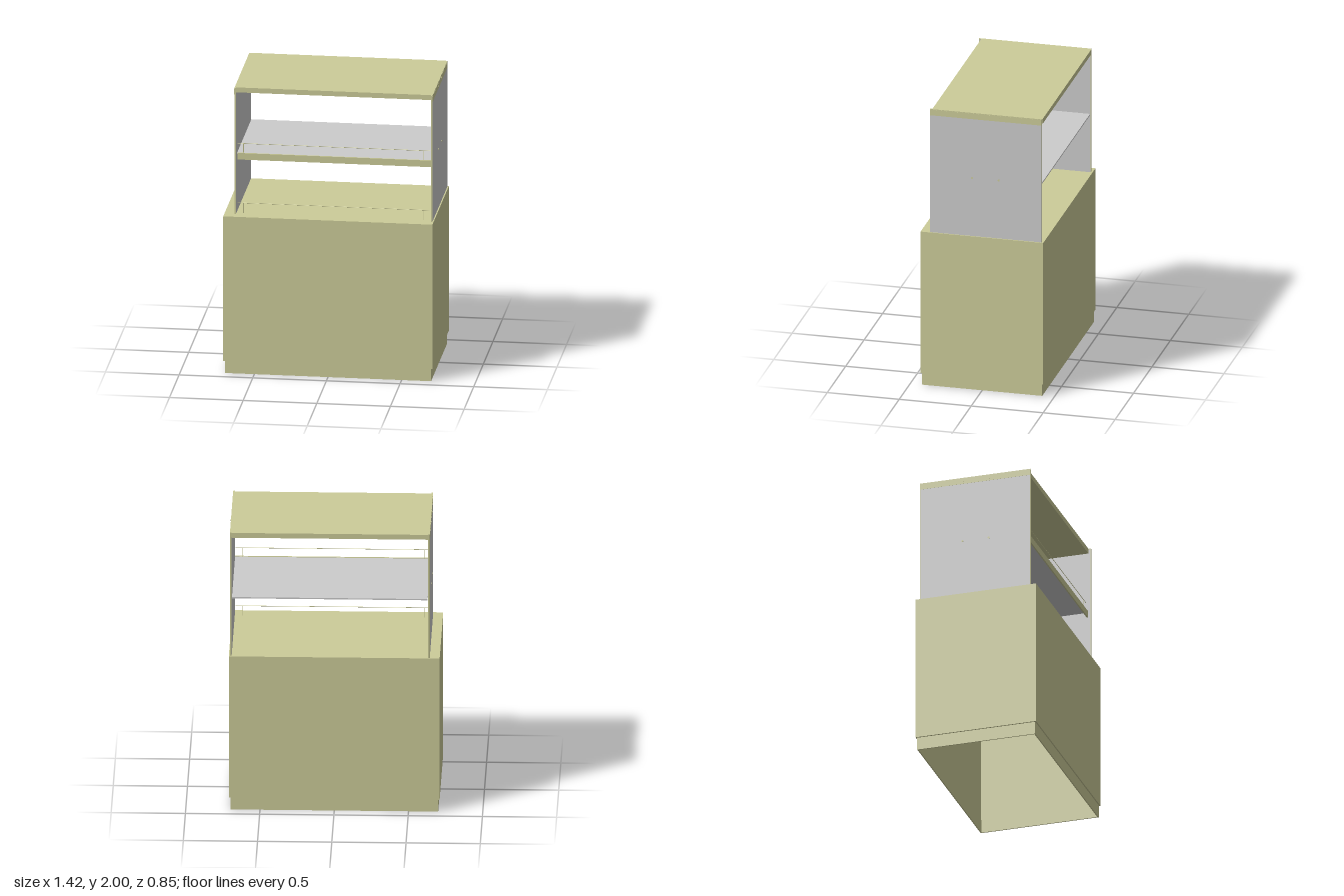
import * as THREE from 'three';

export function createModel() {
  const root = new THREE.Group();
  const beige = new THREE.MeshStandardMaterial({ color: 0xcccc99, side: THREE.DoubleSide });
  beige.name = 'beigeLaminate';
  const grey = new THREE.MeshStandardMaterial({ color: 0xcccccc });
  grey.name = 'greyGlass';

  // Box given by its minimum and maximum corners
  function box(name, mat, [x0, y0, z0], [x1, y1, z1]) {
    const m = new THREE.Mesh(new THREE.BoxGeometry(x1 - x0, y1 - y0, z1 - z0), mat);
    m.position.set((x0 + x1) / 2, (y0 + y1) / 2, (z0 + z1) / 2);
    m.name = name;
    root.add(m);
    return m;
  }

  // Hollow rectangular wall, open above and below
  function shell(name, hx, hz, wall, y0, y1) {
    const rect = (p, a, b) => {
      p.moveTo(-a, -b); p.lineTo(a, -b); p.lineTo(a, b); p.lineTo(-a, b); p.closePath();
      return p;
    };
    const shape = rect(new THREE.Shape(), hx, hz);
    shape.holes.push(rect(new THREE.Path(), hx - wall, hz - wall));
    const g = new THREE.ExtrudeGeometry(shape, { depth: y1 - y0, bevelEnabled: false });
    g.rotateX(-Math.PI / 2);
    const m = new THREE.Mesh(g, beige);
    m.position.y = y0;
    m.name = name;
    root.add(m);
  }

  // Thin round rod along x, y or z
  function rod(name, r, length, axis, x, y, z, sides = 8) {
    const m = new THREE.Mesh(new THREE.CylinderGeometry(r, r, length, sides), beige);
    if (axis === 'x') m.rotation.z = Math.PI / 2;
    m.position.set(x, y, z);
    m.name = name;
    root.add(m);
  }

  // Cabinet, hollow and open below
  shell('plinth', 0.7, 0.417, 0.008, 0, 0.09);
  shell('cabinetWalls', 0.71, 0.426, 0.012, 0.088, 1.085);
  box('counterTop', beige, [-0.71, 1.085, -0.426], [0.71, 1.11, 0.426]);

  // Side panels: grey faces with beige edging and fixings
  for (const [side, x0, x1, out] of [['right', -0.643, -0.632, -1], ['left', 0.691, 0.702, 1]]) {
    const outer = out < 0 ? x0 : x1;
    box(side + 'Panel', grey, [x0, 1.11, -0.411], [x1, 1.995, 0.361]);
    box(side + 'FrontEdge', beige, [x0, 1.11, 0.361], [x1, 2, 0.364]);
    box(side + 'BackEdge', beige, [x0, 1.11, -0.414], [x1, 2, -0.411]);
    box(side + 'TopEdge', beige, [x0, 1.995, -0.411], [x1, 2, 0.361]);
    box(side + 'TopBand', beige, [outer - 0.001, 1.955, -0.411], [outer + 0.001, 1.995, 0.361]);
    for (const y of [1.53, 1.975])
      for (const z of [0.07, -0.115])
        rod(side + 'Screw', 0.007, 0.006, 'x', outer + out * 0.001, y, z, 12);
  }

  // Canopy and shelf
  box('canopy', beige, [-0.632, 1.965, -0.418], [0.691, 2, 0.347]);
  box('shelf', grey, [-0.628, 1.524, -0.41], [0.689, 1.533, 0.335]);
  box('shelfFrontRail', beige, [-0.625, 1.49, 0.335], [0.69, 1.536, 0.345]);

  // Wire guard rails above shelf and counter
  for (const [base, top] of [[1.533, 1.6], [1.11, 1.18]]) {
    rod('guardWire', 0.002, 1.31, 'x', 0.03, top, 0.33);
    for (const x of [-0.585, 0.64])
      rod('guardPost', 0.002, top - base, 'y', x, (top + base) / 2, 0.33);
  }
  return root;
}
